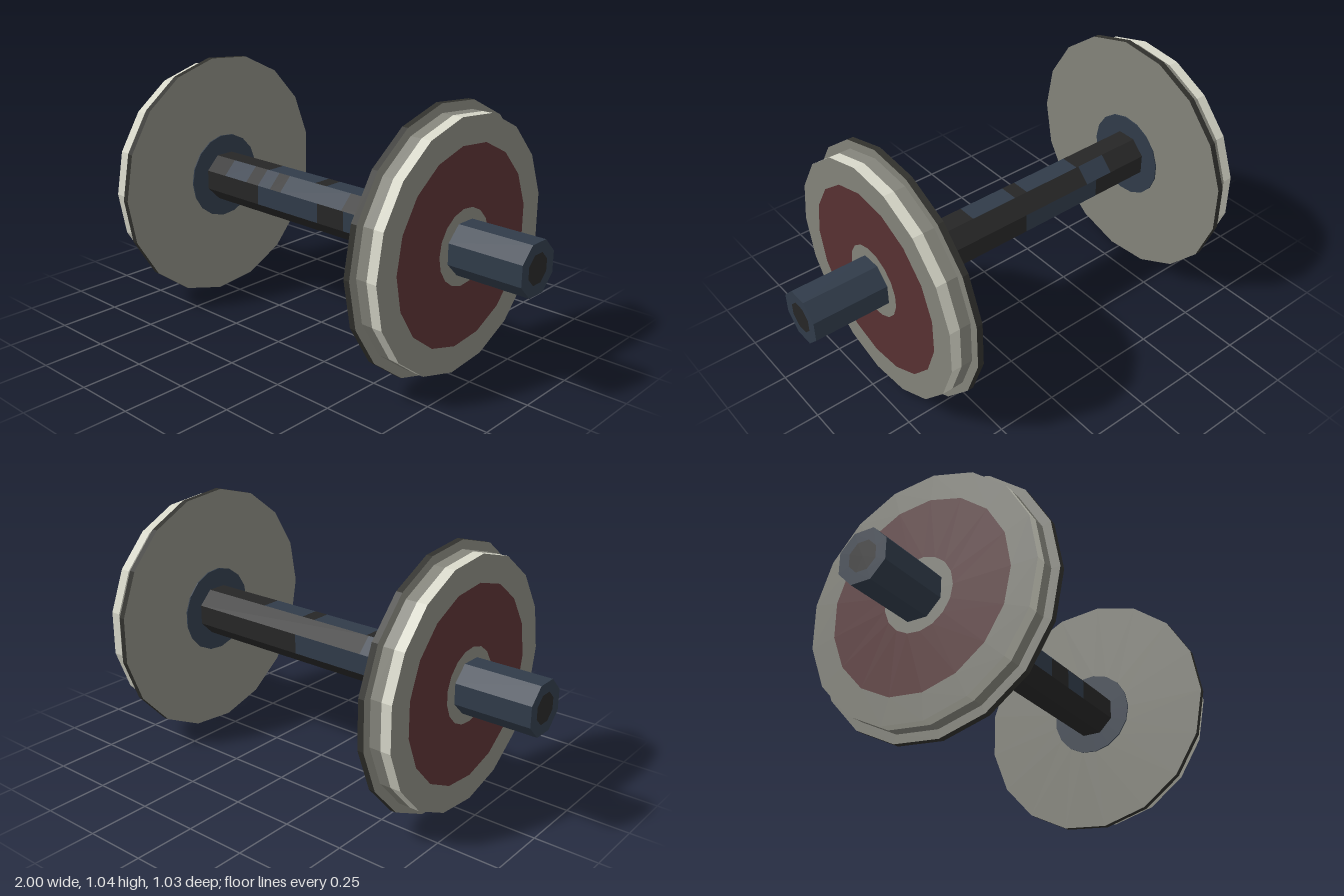
import * as THREE from 'three';
import { mergeGeometries } from 'three/addons/utils/BufferGeometryUtils.js';

const material = (name, color) => {
  const m = new THREE.MeshStandardMaterial({ color, flatShading: true });
  m.name = name;
  return m;
};

export function createModel() {
  const steel = material('grey steel', 0x83837a);
  const polished = material('polished tread', 0xd6d6c8);
  const darkRim = material('dark rim', 0x30302c);
  const blue = material('blue steel', 0x303b49);
  const black = material('black grime', 0x262626);
  const red = material('red paint', 0x573031);

  const model = new THREE.Group();
  model.name = 'wheelset';
  const SIDES = 17;

  // Surface turned about the x axis; profile is [distance from centre, radius], inside to outside
  function turned(name, parent, side, profile, mat, sides = SIDES, start = 0) {
    const geo = new THREE.LatheGeometry(profile.map(([x, r]) => new THREE.Vector2(r, x)), sides, start);
    geo.rotateZ(-side * Math.PI / 2);
    const mesh = new THREE.Mesh(geo, mat);
    mesh.name = name;
    parent.add(mesh);
  }

  for (const side of [1, -1]) {
    const label = side > 0 ? 'left' : 'right';

    // Wheel with flange towards the middle
    const wheel = new THREE.Group();
    wheel.name = label + 'Wheel';
    model.add(wheel);
    turned('innerFace', wheel, side, [[0.585, 0.18], [0.585, 0.52]], steel);
    turned('innerHub', wheel, side, [[0.58, 0], [0.58, 0.18], [0.585, 0.18]], blue);
    turned('flangeRim', wheel, side, [[0.585, 0.52], [0.61, 0.52]], darkRim);
    turned('flangeOuterFace', wheel, side, [[0.61, 0.52], [0.61, 0.485]], steel);
    turned('innerTread', wheel, side, [[0.61, 0.485], [0.655, 0.485]], steel);
    turned('runningTread', wheel, side, [[0.655, 0.485], [0.697, 0.485]], polished);
    turned('outerRing', wheel, side, [[0.697, 0.485], [0.697, 0.381]], steel);
    turned('paintedDisc', wheel, side, [[0.697, 0.381], [0.697, 0.147]], red);
    turned('hubRing', wheel, side, [[0.697, 0.147], [0.697, 0]], steel);

    // Octagonal axle stub with dark centre
    const stub = new THREE.Group();
    stub.name = label + 'AxleEnd';
    model.add(stub);
    const octagon = [8, Math.PI / 8];
    turned('stub', stub, side, [[0.69, 0.105], [1, 0.105], [1, 0.06]], blue, ...octagon);
    turned('stubCentre', stub, side, [[1, 0.06], [1, 0]], black, ...octagon);
  }

  // Blue patches on the axle's eight faces: front, then over the top to the back and below
  const patches = [
    [[-0.27, 0.065], [0.2, 0.33]],
    [[-0.47, -0.34], [-0.27, -0.2], [-0.14, 0.19]],
    [[-0.26, 0], [0.06, 0.265]],
    [[-0.4, -0.27]],
    [[-0.32, 0.05]],
    [], [], [],
  ];
  const apothem = 0.105 * Math.cos(Math.PI / 8);
  const width = 0.21 * Math.sin(Math.PI / 8);
  const blackStrips = [], blueStrips = [];
  patches.forEach((spans, k) => {
    const strip = (list, a, b) => list.push(new THREE.PlaneGeometry(b - a, width)
      .translate((a + b) / 2, 0, apothem).rotateX(-k * Math.PI / 4));
    let x = -0.59;
    for (const [a, b] of spans) {
      strip(blackStrips, x, a);
      strip(blueStrips, a, b);
      x = b;
    }
    strip(blackStrips, x, 0.59);
  });
  const axle = new THREE.Group();
  axle.name = 'axle';
  model.add(axle);
  for (const [name, list, mat] of [['axleBody', blackStrips, black], ['axlePatches', blueStrips, blue]]) {
    const mesh = new THREE.Mesh(mergeGeometries(list), mat);
    mesh.name = name;
    axle.add(mesh);
  }

  // Stand the wheels on the ground
  for (const part of model.children) part.position.set(0, 0.518, -0.004);
  return model;
}
